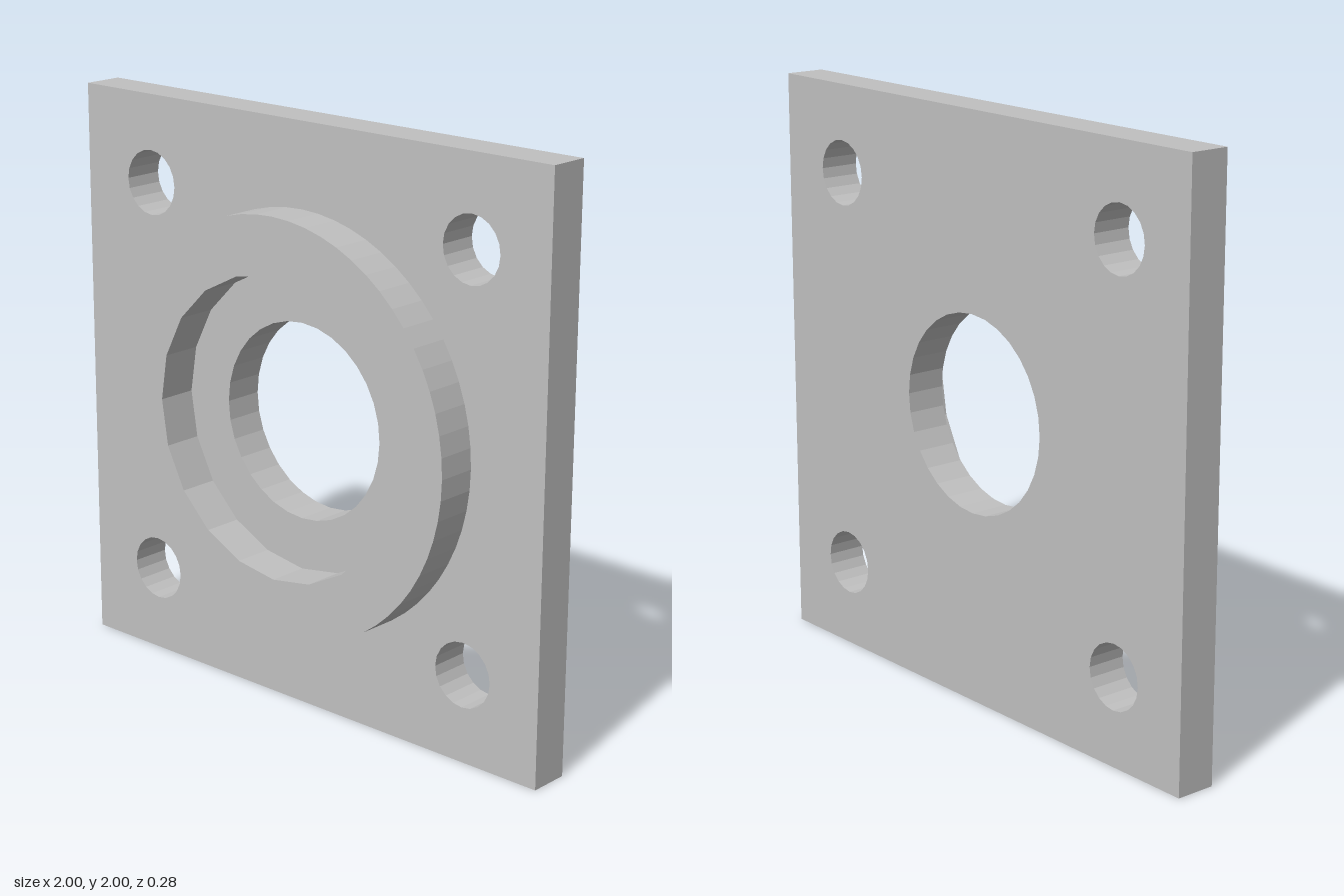
import * as THREE from 'three';

const T = 0.14; // thickness of plate and of collar

// Regular polygon outline approximating a circle
function ring(x, y, r, sides) {
  return Array.from({ length: sides }, (_, i) => {
    const a = (i / sides) * Math.PI * 2;
    return new THREE.Vector2(x + r * Math.cos(a), y + r * Math.sin(a));
  });
}

// Flat slab with holes, extruded towards +z
function slab(name, outline, holes, z, material) {
  const shape = new THREE.Shape(outline);
  holes.forEach((h) => shape.holes.push(new THREE.Path(h)));
  const geometry = new THREE.ExtrudeGeometry(shape, { depth: T, bevelEnabled: false });
  const mesh = new THREE.Mesh(geometry, material);
  mesh.name = name;
  mesh.position.set(0, 1, z);
  return mesh;
}

export function createModel() {
  const metal = new THREE.MeshStandardMaterial({ color: 0xc0c0c0 });
  metal.name = 'grey metal';

  const group = new THREE.Group();
  group.name = 'flangePlate';

  // Square plate with a central bore and four bolt holes
  const square = [[-1, -1], [1, -1], [1, 1], [-1, 1]].map(([x, y]) => new THREE.Vector2(x, y));
  const holes = [ring(0, 0, 0.337, 32)];
  for (const sx of [-1, 1]) {
    for (const sy of [-1, 1]) holes.push(ring(sx * 0.696, sy * 0.697, 0.112, 20));
  }
  group.add(slab('plate', square, holes, -T, metal));

  // Raised collar around a wider recess
  group.add(slab('collar', ring(0, 0, 0.713, 64), [ring(0, 0, 0.516, 20)], 0, metal));

  return group;
}
